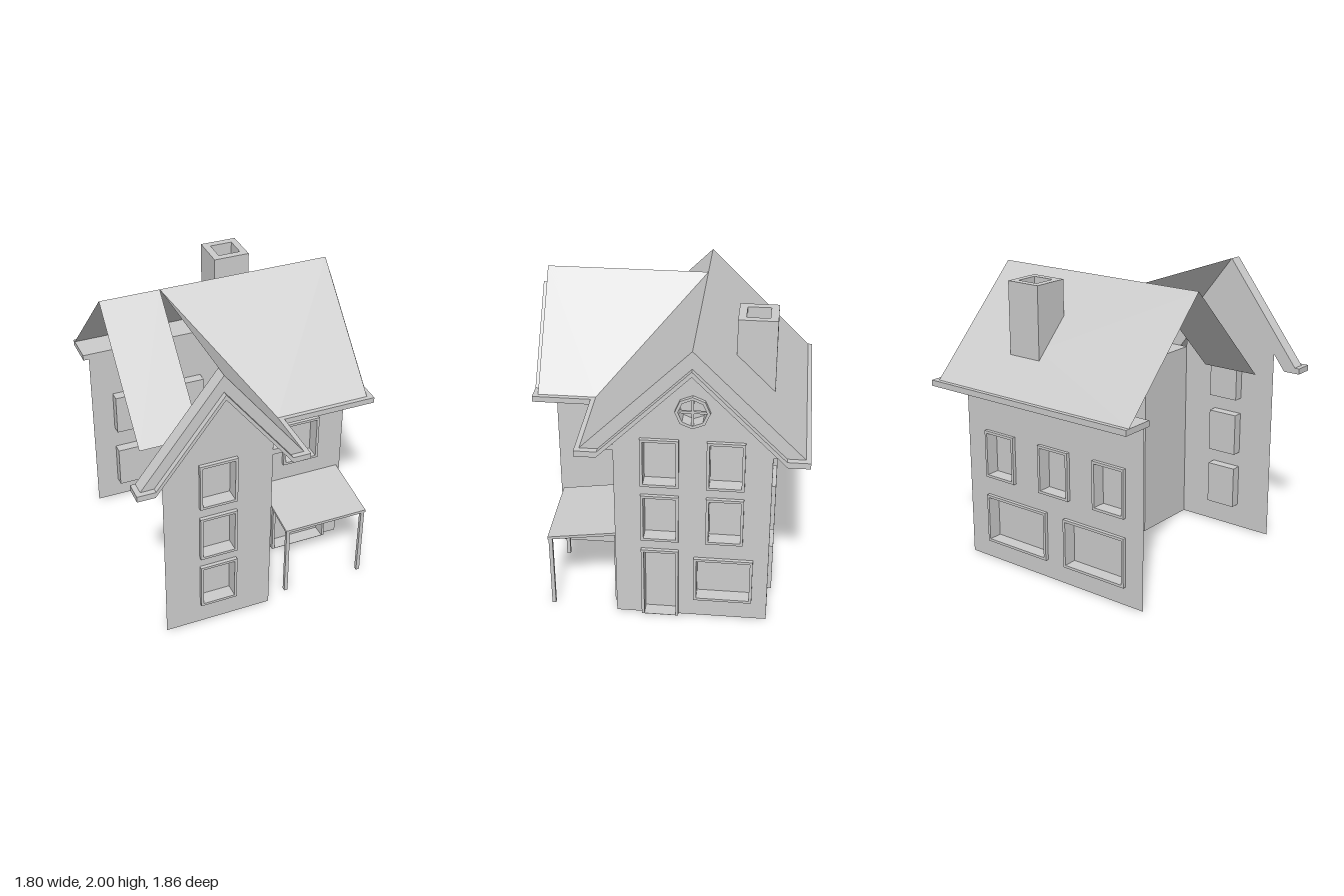
import * as THREE from 'three';

const mat = new THREE.MeshStandardMaterial({ color: 0xcccccc, side: THREE.DoubleSide, flatShading: true });

function add(parent, name, geometry, x = 0, y = 0, z = 0) {
  const mesh = new THREE.Mesh(geometry, mat);
  mesh.name = name;
  mesh.position.set(x, y, z);
  parent.add(mesh);
  return mesh;
}

const toVecs = (pts) => pts.map(([x, y]) => new THREE.Vector2(x, y));
const rect = (x0, x1, y0, y1) => [[x0, y0], [x1, y0], [x1, y1], [x0, y1]];

function shapeOf(pts, holes = []) {
  const shape = new THREE.Shape(toVecs(pts));
  holes.forEach((h) => shape.holes.push(new THREE.Path(toVecs(h))));
  return shape;
}

const extrude = (shape, depth) => new THREE.ExtrudeGeometry(shape, { depth, bevelEnabled: false });

// Box spanned by its limits
function block(parent, name, x0, x1, y0, y1, z0, z1) {
  return add(parent, name, new THREE.BoxGeometry(x1 - x0, y1 - y0, z1 - z0),
    (x0 + x1) / 2, (y0 + y1) / 2, (z0 + z1) / 2);
}

const RIM = 0.018, RECESS = 0.07, PROUD = 0.025;

// Raised frame and sunken pane; returns the hole to cut in the wall
function opening(wall, [x0, x1, y0, y1]) {
  const isDoor = y0 === 0;
  const name = isDoor ? 'door' : 'window';
  const a = x0 + RIM, b = x1 - RIM, c = isDoor ? 0.002 : y0 + RIM, d = y1 - RIM;
  const hole = rect(a, b, c, d);
  add(wall, name + 'Frame', extrude(shapeOf(rect(x0, x1, y0, y1), [hole]), PROUD));
  const box = new THREE.BoxGeometry(b - a, d - c, RECESS);
  box.setIndex(Array.from(box.index.array).filter((_, i) => i < 24 || i > 29)); // open at the front
  add(wall, name + 'Recess', box, (a + b) / 2, (c + d) / 2, -RECESS / 2);
  return hole;
}

function octagon(cx, cy, r) {
  return Array.from({ length: 8 }, (_, i) => {
    const t = (i * Math.PI) / 4;
    return [cx + r * Math.cos(t), cy + r * Math.sin(t)];
  });
}

// Eight-sided attic window with a cross of bars
function roundWindow(wall, cx, cy) {
  const hole = octagon(cx, cy, 0.09);
  add(wall, 'atticWindowFrame', extrude(shapeOf(octagon(cx, cy, 0.11), [hole]), PROUD));
  const tube = new THREE.CylinderGeometry(0.09, 0.09, RECESS, 8, 1, true).rotateX(Math.PI / 2);
  tube.rotateZ(Math.PI / 2);
  add(wall, 'atticWindowRecess', tube, cx, cy, -RECESS / 2);
  add(wall, 'atticWindowPane', new THREE.CircleGeometry(0.09, 8), cx, cy, -RECESS);
  block(wall, 'atticWindowBar', cx - 0.09, cx + 0.09, cy - 0.008, cy + 0.008, 0, 0.015);
  block(wall, 'atticWindowBar', cx - 0.008, cx + 0.008, cy - 0.09, cy + 0.09, 0, 0.015);
  return hole;
}

// Thin wall in its own frame: local +z points outdoors
function makeWall(house, name, position, turn, outline, openings, attic) {
  const wall = new THREE.Group();
  wall.name = name;
  wall.position.set(...position);
  wall.rotation.y = turn;
  const holes = openings.map((o) => opening(wall, o));
  if (attic) holes.push(roundWindow(wall, ...attic));
  add(wall, name + 'Panel', new THREE.ShapeGeometry(shapeOf(outline, holes)));
  house.add(wall);
  return wall;
}

// Overhanging verge of a gable: thick roof edge with a moulding and flat eave returns below
function verge(wall, cx, run, foot, depth, trimDepth) {
  const slope = 0.7 / run;
  const a = 0.585 / slope, b = 0.59 / slope;
  const mirror = (half) => [
    ...half.map(([x, y]) => [cx + x, y]),
    ...half.slice().reverse().filter(([x]) => x !== 0).map(([x, y]) => [cx - x, y]),
  ];
  const edge = [...mirror([[run, 1.3], [0, 2]]), ...mirror([[-a, 1.3], [0, 1.885]])];
  const trim = [...mirror([[foot, 1.26], [foot, 1.3], [a, 1.3], [0, 1.885]]),
    ...mirror([[-b, 1.26], [0, 1.85]])];
  add(wall, 'roofVerge', extrude(shapeOf(edge), depth));
  add(wall, 'vergeMoulding', extrude(shapeOf(trim), trimDepth));
}

// Roof plane drawn in plan (x, z) and lifted by a height rule
function roofSheet(house, name, plan, height, holes = []) {
  const flip = (pts) => pts.map(([x, z]) => [x, -z]);
  const geo = new THREE.ShapeGeometry(shapeOf(flip(plan), holes.map(flip)));
  const p = geo.attributes.position;
  for (let i = 0; i < p.count; i++) {
    const x = p.getX(i), z = -p.getY(i);
    p.setXYZ(i, x, height(x, z), z);
  }
  geo.computeVertexNormals();
  add(house, name, geo);
}

export function createModel() {
  const house = new THREE.Group();
  house.name = 'house';

  // Walls; the left side stays open
  const front = makeWall(house, 'frontGableWall', [0, 0, 0.8], 0,
    [[-0.7, 0], [0.04, 0], [0.04, 1.39], [-0.33, 1.87], [-0.7, 1.39]],
    [[-0.46, -0.205, 0.98, 1.32], [-0.46, -0.205, 0.565, 0.9], [-0.46, -0.205, 0.155, 0.49]]);
  verge(front, -0.33, 0.54, 0.573, 0.09, 0.125);

  const side = makeWall(house, 'rightGableWall', [0.8, 0, 0], Math.PI / 2,
    [[-0.3, 0], [0.7, 0], [0.7, 1.37], [0.2, 1.87], [-0.3, 1.37]],
    [[-0.13, 0.115, 1.015, 1.36], [0.29, 0.53, 1.015, 1.36],
      [-0.13, 0.115, 0.6, 0.945], [0.29, 0.53, 0.6, 0.945],
      [-0.13, 0.115, 0, 0.525], [0.215, 0.6, 0.14, 0.475]],
    [0.2, 1.565]);
  verge(side, 0.2, 0.7, 0.73, 0.06, 0.1);

  makeWall(house, 'backWall', [0, 0, -0.7], Math.PI, rect(-0.8, 0.7, 0, 1.3),
    [[-0.63, -0.375, 0.61, 0.945], [-0.155, 0.1, 0.61, 0.945], [0.305, 0.56, 0.61, 0.945],
      [-0.63, -0.1, 0.13, 0.475], [0.055, 0.56, 0.13, 0.475]]);
  makeWall(house, 'entranceWall', [0, 0, 0.3], 0, rect(0.04, 0.8, 0, 1.3),
    [[0.35, 0.61, 0.745, 1.08], [0.285, 0.7, 0, 0.525]]);
  makeWall(house, 'wingWall', [0.04, 0, 0], Math.PI / 2, rect(-0.8, -0.3, 0, 1.3), []);

  // Roof planes
  const mainHeight = (x, z) => 2 - Math.abs(z + 0.2);
  const flue = rect(0.2, 0.355, -0.64, -0.49);
  roofSheet(house, 'backRoof', rect(-0.74, 0.86, -0.9, -0.2), mainHeight, [flue]);
  roofSheet(house, 'frontRoof', [[-0.33, -0.2], [0.86, -0.2], [0.86, 0.5], [0.21, 0.5]], mainHeight);
  roofSheet(house, 'frontRoofLeft', rect(-0.74, -0.33, -0.2, 0.5), mainHeight);
  roofSheet(house, 'wingRoof', [[-0.33, -0.2], [0.21, 0.5], [0.21, 0.89], [-0.33, 0.89]],
    (x) => 2 - (x + 0.33) * (0.7 / 0.54));

  // Flat eaves along the walls
  block(house, 'backEave', -0.74, 0.8, 1.26, 1.3, -0.93, -0.7);
  block(house, 'entranceEave', 0.04, 0.8, 1.26, 1.3, 0.3, 0.53);
  block(house, 'wingEave', 0.04, 0.243, 1.26, 1.3, 0.53, 0.8);

  // Hollow chimney, its foot cut to the roof slope
  const stack = extrude(shapeOf(rect(0.15, 0.4, 0.44, 0.69), [rect(0.2, 0.355, 0.49, 0.64)]), 1);
  stack.rotateX(-Math.PI / 2);
  const p = stack.attributes.position;
  for (let i = 0; i < p.count; i++) {
    p.setY(i, p.getY(i) > 0.5 ? 2 : mainHeight(0, p.getZ(i)));
  }
  stack.computeVertexNormals();
  add(house, 'chimney', stack);

  // Porch: sloping canopy on two posts
  const canopy = extrude(shapeOf([[-0.3, 0.59], [-0.3, 0.61], [-0.755, 0.545], [-0.755, 0.525]]), 0.595);
  add(house, 'porchRoof', canopy, 0.18, 0, 0).rotation.y = Math.PI / 2;
  for (const x of [0.185, 0.745]) block(house, 'porchPost', x, x + 0.025, 0, 0.535, 0.725, 0.75);

  return house;
}
